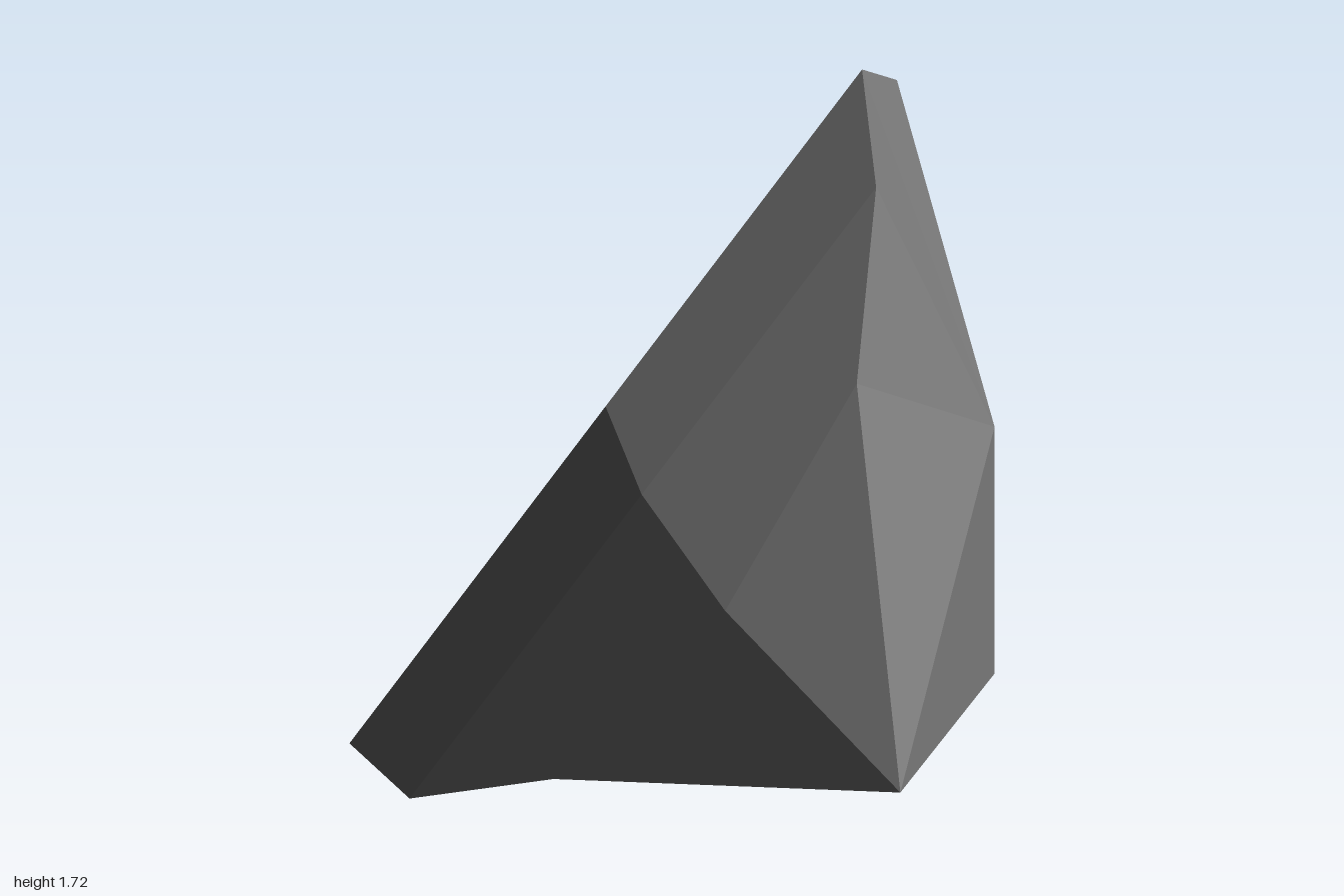
import * as THREE from 'three';

// The rock is mirror-symmetric about a vertical plane turned to the axes.
const OUT = new THREE.Vector3(0.868, 0, 0.498);    // in the plane, towards the broad face
const ACROSS = new THREE.Vector3(0.498, 0, -0.868); // normal of the plane

// s: distance from the mirror plane, d: distance outwards, y: height
function point([s, d, y]) {
  return new THREE.Vector3(0, y, 0)
    .addScaledVector(OUT, d)
    .addScaledVector(ACROSS, s + 0.163);
}

// Half a ridge from the tip to the middle, completed by its mirror image
function ridge(half) {
  const other = half.slice(0, -1).reverse().map(([s, d, y]) => [-s, d, y]);
  return [...half, ...other].map(point);
}

// Triangles between two ridges that meet in the tips, with mirrored diagonals
function strip(a, b) {
  const corners = [];
  const last = a.length - 2;
  for (let i = 0; i <= last; i++) {
    if (i === 0) corners.push(a[0], a[1], b[1]);
    else if (i === last) corners.push(a[i], a[i + 1], b[i]);
    else if (i <= last / 2) {
      corners.push(a[i], a[i + 1], b[i + 1], a[i], b[i + 1], b[i]);
    } else {
      corners.push(a[i], a[i + 1], b[i], a[i + 1], b[i + 1], b[i]);
    }
  }
  return corners;
}

// Triangles from a centre to a closed loop
function fan(centre, loop) {
  return loop.flatMap((p, i) => [centre, p, loop[(i + 1) % loop.length]]);
}

function facets(name, color, corners) {
  const geometry = new THREE.BufferGeometry().setFromPoints(corners);
  geometry.computeVertexNormals();
  const mesh = new THREE.Mesh(
    geometry,
    new THREE.MeshStandardMaterial({ color, flatShading: true })
  );
  mesh.name = name;
  return mesh;
}

export function createModel() {
  const tip = [-1.15, 0.29, 0.315];
  const crest = ridge([tip, [-0.674, 0.156, 1.17], [-0.381, 0.183, 1.56], [0, 0.125, 1.72]]);
  const waist = ridge([tip, [-0.766, -0.15, 0.625], [-0.378, -0.373, 0.775], [0, -0.483, 0.86]]);
  const foot = ridge([tip, [-0.671, -0.563, 0.16], [-0.381, -0.923, 0], [0, -1.09, 0]]);
  const faceCentre = point([0, 0.439, 0.83]);
  const faceBottom = point([0, 0.439, 0.21]);
  const baseCentre = point([0, -0.148, 0]);

  const group = new THREE.Group();
  group.name = 'facetedRock';
  group.add(
    facets('upperBack', 0x5e5e5e, strip(crest, waist)),
    facets('lowerBack', 0x313131, strip(waist, foot)),
    facets('broadFace', 0x8b8b8b, fan(faceCentre, [...crest].reverse().concat(faceBottom))),
    facets('underside', 0xcccccc, fan(baseCentre, [...foot, faceBottom]))
  );
  return group;
}
